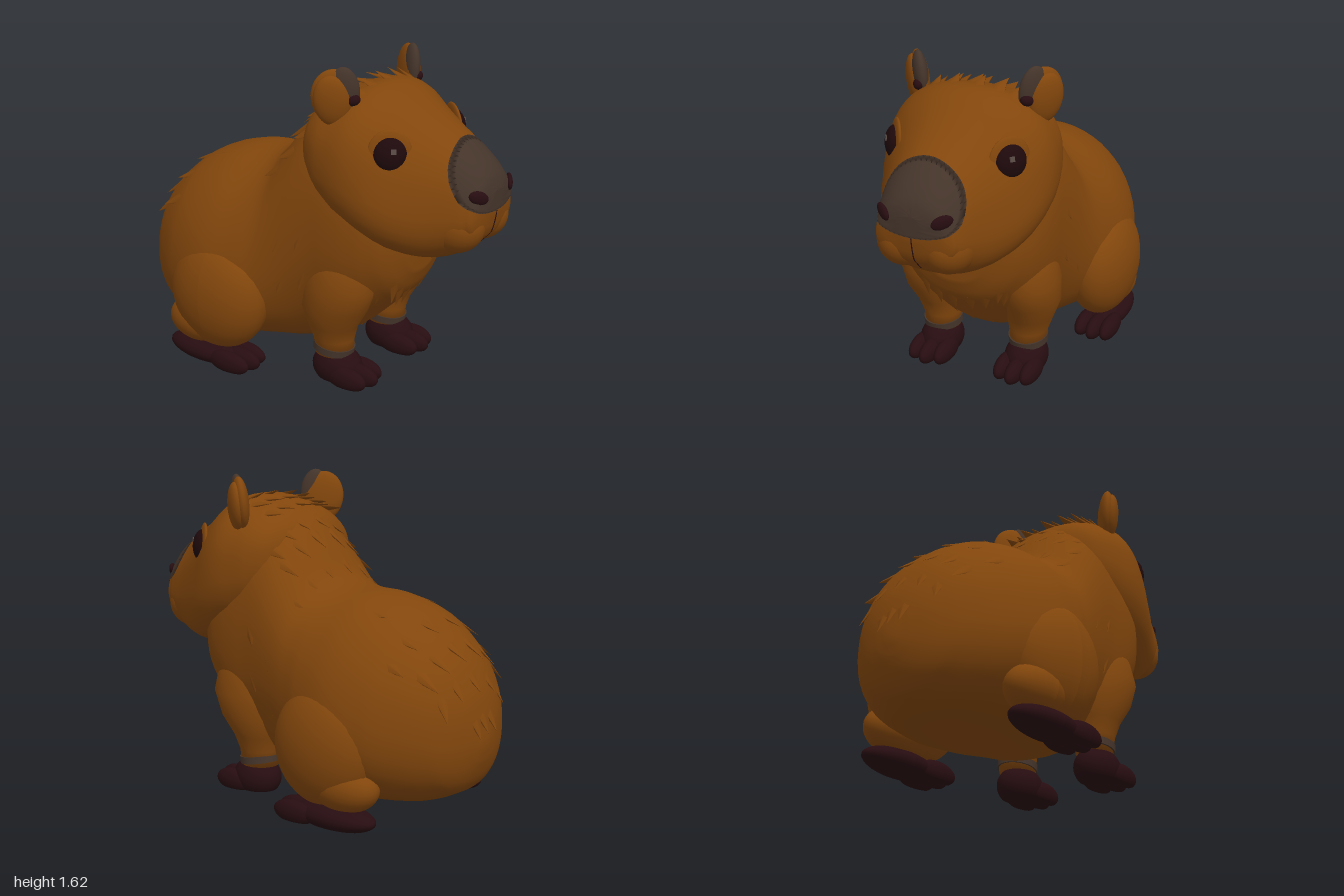
import * as THREE from 'three';
import { mergeGeometries } from 'three/addons/utils/BufferGeometryUtils.js';

const mat = (name, color) => Object.assign(new THREE.MeshStandardMaterial({ color }), { name });
const V = (x, y, z) => new THREE.Vector3(x, y, z);

// Cross-sections along z: [z, bottom, top, half width, pear taper]
const BODY = [
  [-0.965, 0.38, 0.44, 0.03, 0], [-0.95, 0.31, 0.55, 0.11, 0], [-0.9, 0.2, 0.7, 0.24, 0.03],
  [-0.82, 0.14, 0.83, 0.345, 0.06], [-0.72, 0.1, 0.93, 0.425, 0.1], [-0.6, 0.08, 1.01, 0.49, 0.12],
  [-0.4, 0.07, 1.07, 0.53, 0.14], [-0.2, 0.08, 1.09, 0.495, 0.1], [-0.1, 0.09, 1.14, 0.46, 0.06],
  [0, 0.1, 1.27, 0.435, 0.02], [0.1, 0.13, 1.39, 0.42, 0], [0.2, 0.17, 1.45, 0.41, 0],
  [0.3, 0.23, 1.4, 0.405, 0], [0.4, 0.32, 1.3, 0.39, 0], [0.5, 0.42, 1.2, 0.35, 0],
  [0.57, 0.5, 1.1, 0.28, 0], [0.61, 0.6, 0.95, 0.16, 0],
];
const HEAD = [
  [0.06, 1.15, 1.3, 0.12, 0], [0.1, 1.03, 1.38, 0.28, 0], [0.18, 0.93, 1.45, 0.375, 0.02],
  [0.3, 0.83, 1.495, 0.42, 0.05], [0.4, 0.78, 1.515, 0.43, 0.07], [0.5, 0.74, 1.49, 0.41, 0.12],
  [0.6, 0.72, 1.43, 0.365, 0.19], [0.7, 0.71, 1.365, 0.315, 0.19], [0.8, 0.73, 1.305, 0.265, 0.18],
  [0.88, 0.775, 1.25, 0.23, 0.18], [0.94, 0.83, 1.195, 0.2, 0.2], [0.98, 0.89, 1.14, 0.155, 0.2],
  [0.996, 0.97, 1.09, 0.06, 0],
];

function surface(rings, power) {
  const zs = rings.map(r => r[0]);
  const curve = new THREE.CubicInterpolant(zs, rings.flatMap(r => r.slice(1)), 4);
  const bend = v => Math.sign(v) * Math.abs(v) ** (2 / power);
  const point = (z, a) => {
    const [lo, hi, w, k] = curve.evaluate(z);
    const t = bend(Math.sin(a));
    return V(w * bend(Math.cos(a)) * (1 - k * t), (lo + hi) / 2 + (hi - lo) / 2 * t, z);
  };
  const inside = (x, y, z) => {
    const [lo, hi, w, k] = curve.evaluate(z);
    const t = (2 * y - lo - hi) / (hi - lo);
    return Math.abs(t) < 1 && Math.abs(x) < w * (1 - Math.abs(t) ** power) ** (1 / power) * (1 - k * t);
  };
  // Depth of the front face at x, y
  const frontZ = (x, y) => {
    let z = 0.996;
    while (z > 0.5 && !inside(x, y, z)) z -= 0.002;
    return z;
  };
  const normal = (z, a) => {
    const da = point(z, a + 0.02).sub(point(z, a - 0.02));
    return da.cross(point(z + 0.01, a).sub(point(z - 0.01, a))).normalize();
  };
  return { zs, point, frontZ, normal };
}

// Skin closed rows of points, with a closing point at both ends
function skin(rows) {
  const n = rows[0].length, pts = rows.flat(), idx = [];
  for (let i = 0; i < rows.length - 1; i++)
    for (let j = 0; j < n; j++) {
      const a = i * n + j, b = i * n + (j + 1) % n;
      idx.push(a, b, a + n, b, b + n, a + n);
    }
  const mean = row => row.reduce((s, p) => s.add(p), V(0, 0, 0)).divideScalar(n);
  const first = pts.length, last = first + 1, base = (rows.length - 1) * n;
  pts.push(mean(rows[0]), mean(rows[rows.length - 1]));
  for (let j = 0; j < n; j++) {
    const k = (j + 1) % n;
    idx.push(first, k, j, last, base + j, base + k);
  }
  const g = new THREE.BufferGeometry().setFromPoints(pts);
  g.setIndex(idx);
  g.computeVertexNormals();
  return g;
}

function loft(s, sides = 48, steps = 4) {
  const rows = [];
  s.zs.forEach((z, i) => {
    const next = s.zs[i + 1];
    for (let k = 0; k < (next === undefined ? 1 : steps); k++) {
      const zz = next === undefined ? z : z + (next - z) * k / steps;
      rows.push(Array.from({ length: sides }, (_, j) => s.point(zz, j / sides * Math.PI * 2)));
    }
  });
  return skin(rows);
}

const ellipsoid = (r, c) => new THREE.SphereGeometry(1, 28, 20).scale(...r).translate(...c);

// Ellipsoid, flattened where it meets the ground
function blob(c, r) {
  const g = ellipsoid(r, c);
  const p = g.attributes.position;
  for (let i = 0; i < p.count; i++) p.setY(i, Math.max(p.getY(i), 0.004));
  g.computeVertexNormals();
  return g;
}

// Thin pointed lock of fur lying along a surface
function lock(s, z, a, flow, length, lift) {
  const n = s.normal(z, a);
  const y = flow.clone().addScaledVector(n, -flow.dot(n)).normalize().addScaledVector(n, lift).normalize();
  const x = y.clone().cross(n).normalize();
  const m = new THREE.Matrix4().makeBasis(x, y, x.clone().cross(y));
  m.setPosition(s.point(z, a).addScaledVector(n, -0.012));
  return new THREE.ConeGeometry(0.042, length, 6).scale(1, 1, 0.28).translate(0, length / 2, 0).applyMatrix4(m);
}

export function createModel() {
  const model = new THREE.Group();
  model.name = 'capybara';
  const fur = mat('brown fur', 0x82460c), muzzle = mat('grey brown skin', 0x44342a);
  const dark = mat('dark paw skin', 0x270d11), eyeDark = mat('eye', 0x1e090c), glint = mat('eye glint', 0x5c4c46);
  const add = (name, geo, material, parent = model) => {
    const mesh = new THREE.Mesh(geo, material);
    mesh.name = name;
    parent.add(mesh);
    return mesh;
  };
  // Named group whose local +z points along a direction, with local +y near the given up
  const aimed = (name, parent, pos, dir, up = V(0, 1, 0)) => {
    const group = new THREE.Group();
    group.name = name;
    group.up.copy(up);
    group.lookAt(dir);
    group.position.copy(pos);
    parent.add(group);
    return group;
  };

  const body = surface(BODY, 2.2), head = surface(HEAD, 2.4);
  add('body', loft(body), fur);
  add('head', loft(head), fur);

  // Nose pad: dome-shaped sheet following the snout
  const pad = [];
  for (let i = 12; i >= 1; i--)
    pad.push(Array.from({ length: 48 }, (_, j) => {
      const a = j / 48 * Math.PI * 2, s = Math.sin(a), r = i / 12;
      const x = 0.212 * Math.cos(a) * r;
      const y = 1.085 + r * (s > 0 ? 0.22 * s : -0.1 * Math.abs(s) ** 0.6);
      return V(x, y, head.frontZ(x, y) + 0.007);
    }));
  add('nosePad', skin(pad), muzzle);
  const mouth = new THREE.CatmullRomCurve3([0.99, 0.95, 0.91, 0.87, 0.83, 0.8].map(y => V(0, y, head.frontZ(0, y) + 0.001)));
  add('mouthLine', new THREE.TubeGeometry(mouth, 20, 0.003, 6), dark);

  for (const s of [1, -1]) {
    const side = new THREE.Group();
    side.name = s > 0 ? 'leftSide' : 'rightSide';
    model.add(side);

    // Face
    add('lip', blob([s * 0.112, 0.91, 0.84], [0.13, 0.135, 0.148]), fur, side);
    const nostril = add('nostril', ellipsoid([0.052, 0.032, 0.016], [0, 0, 0]), dark, side);
    nostril.position.set(s * 0.147, 1.077, head.frontZ(0.147, 1.077) + 0.006);
    nostril.rotation.set(0, s * 0.6, s * 0.35);
    const eye = aimed('eye', side, V(s * 0.292, 1.25, 0.59), V(s * 0.78, 0.1, 0.62));
    add('eyeSocket', ellipsoid([0.105, 0.112, 0.022], [0, 0.004, 0]), fur, eye);
    add('eyeball', ellipsoid([0.079, 0.083, 0.05], [0, 0, 0.004]), eyeDark, eye);
    add('eyeGlint', new THREE.BoxGeometry(0.024, 0.024, 0.006), glint, eye).position.set(s * -0.012, 0.022, 0.052);

    // Ear: dark cup on the forward edge, furry rim folded over the outside
    const ear = aimed('ear', side, V(s * 0.315, 1.48, 0.3), V(s * 0.78, -0.08, 0.62), V(s * 0.25, 1, 0));
    add('earShell', ellipsoid([0.112, 0.135, 0.042], [0, 0, 0]), fur, ear);
    add('earRim', ellipsoid([0.088, 0.122, 0.042], [s * 0.016, -0.008, 0.024]), fur, ear);
    add('earInner', ellipsoid([0.07, 0.112, 0.037], [s * -0.05, 0.027, 0.004]), muzzle, ear);
    add('earHollow', ellipsoid([0.035, 0.028, 0.026], [s * -0.08, -0.02, 0.024]), dark, ear);

    // Front leg: [y, x, z, x radius, z radius]
    const leg = [[0.14, 0.24, 0.25, 0.09, 0.1], [0.22, 0.242, 0.25, 0.098, 0.105], [0.3, 0.252, 0.25, 0.118, 0.13],
      [0.4, 0.268, 0.27, 0.142, 0.175], [0.52, 0.272, 0.3, 0.145, 0.195], [0.64, 0.255, 0.3, 0.135, 0.18],
      [0.76, 0.225, 0.29, 0.1, 0.14], [0.84, 0.2, 0.28, 0.05, 0.08]];
    add('frontLeg', skin(leg.map(([y, x, z, rx, rz]) => Array.from({ length: 32 }, (_, j) => {
      const a = j / 32 * Math.PI * 2;
      return V(s * x + rx * Math.cos(a), y, z - rz * Math.sin(a));
    }))), fur, side);
    const cuff = new THREE.CylinderGeometry(0.1, 0.1, 0.036, 32).scale(1, 1, 1.07);
    add('frontCuff', cuff.rotateX(0.15).translate(s * 0.241, 0.172, 0.25), muzzle, side);
    add('frontPaw', mergeGeometries([
      blob([s * 0.24, 0.07, 0.27], [0.108, 0.105, 0.135]),
      ...[-1, 0, 1].map(t => blob([s * 0.24 + t * 0.072, 0.045, t ? 0.37 : 0.395], [0.044, 0.06, 0.115])),
    ]), dark, side);

    // Hind leg
    add('thigh', blob([s * 0.418, 0.375, -0.34], [0.178, 0.295, 0.285]), fur, side);
    add('hock', blob([s * 0.425, 0.2, -0.46], [0.125, 0.12, 0.19]), fur, side);
    add('hindPaw', mergeGeometries([
      blob([s * 0.44, 0.052, -0.41], [0.106, 0.066, 0.24]),
      ...[-1, 0, 1].map(t => blob([s * 0.44 + t * 0.07, 0.046, t ? -0.22 : -0.2], [0.043, 0.058, 0.125])),
    ]), dark, side);
  }

  // Fur locks: [surface, z values, angles from the top, flow, length, lift]
  const back = V(0, -0.5, -1), down = V(0, -1, 0);
  const patches = [
    [head, [0.22, 0.31, 0.4], [-0.5, -0.25, 0, 0.25, 0.5], V(0, 0, -1), 0.12, 0.38],
    [body, [-0.04, 0.05, 0.13], [-0.75, -0.45, -0.15, 0.15, 0.45, 0.75], back, 0.12, 0.22],
    [body, [-0.45], [-0.4, 0.4], back, 0.11, 0.15],
    [body, [-0.64, -0.78], [-0.9, -0.55, -0.18, 0.18, 0.55, 0.9], back, 0.13, 0.17],
    [body, [-0.87], [-0.9, -0.45, 0, 0.45, 0.9], down, 0.13, 0.2],
    [body, [-0.935], [-0.5, 0, 0.5], down, 0.13, 0.3],
    [body, [0.05, 0.16], [-1.8, -1.5, 1.5, 1.8], V(0, -1, -0.4), 0.1, 0.12],
    [body, [0.36, 0.44, 0.51, 0.56], [2.4, 2.7, 3, 3.3, 3.6, 3.9], down, 0.11, 0.1],
  ];
  const locks = [];
  for (const [s, zs, angles, flow, length, lift] of patches)
    for (const z of zs)
      for (const a of angles) {
        const jitter = Math.sin(locks.length * 12.9);
        locks.push(lock(s, z + jitter * 0.015, Math.PI / 2 + a + jitter * 0.06, flow, length * (1 + jitter * 0.2), lift));
      }
  add('furLocks', mergeGeometries(locks), fur);
  return model;
}
